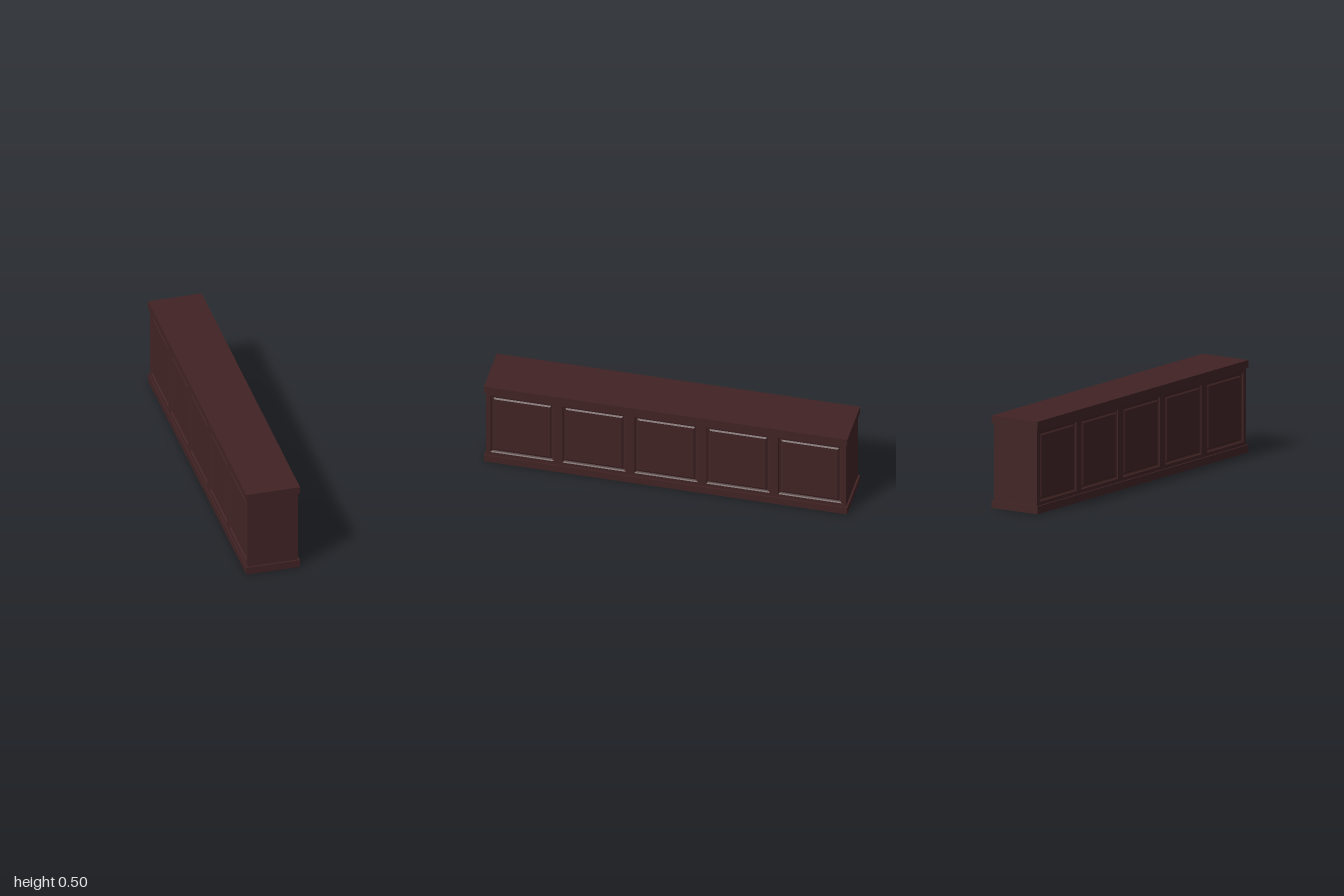
import * as THREE from 'three';

const WOOD = new THREE.MeshStandardMaterial({ color: 0x412324 });
WOOD.name = 'dark mahogany';

const HALF_X = 0.149, HALF_Z = 1;       // plinth and countertop
const BODY_X = 0.14, BODY_Z = 0.99;     // cabinet body
const LOW = 0.042, HIGH = 0.464, TOP = 0.505;
const DEPTH = 0.012;                    // thickness of the panelled facing
const PANEL = { w: 0.348, y0: 0.062, y1: 0.442, pitch: 0.396, count: 5 };

function add(parent, name, geometry) {
  const mesh = new THREE.Mesh(geometry, WOOD);
  mesh.name = name;
  parent.add(mesh);
  return mesh;
}

function box(parent, name, w, y0, y1, d) {
  const mesh = add(parent, name, new THREE.BoxGeometry(w, y1 - y0, d));
  mesh.position.y = (y0 + y1) / 2;
  return mesh;
}

function rectangle(x0, y0, x1, y1, Type = THREE.Shape) {
  return new Type([[x0, y0], [x1, y0], [x1, y1], [x0, y1]].map(p => new THREE.Vector2(...p)));
}

// Raised panel facing +z: nested rectangles [inset, depth] joined by sloping bands
function panelGeometry(w, h) {
  const steps = [[0, 0], [0.004, -0.006], [0.010, -0.009], [0.014, -0.009], [0.022, -0.003]];
  const pos = [];
  const ring = ([i, z]) => {
    const x = w / 2 - i, y = h / 2 - i;
    return [[-x, -y, z], [x, -y, z], [x, y, z], [-x, y, z]];
  };
  const quad = (a, b, c, d) => pos.push(...a, ...b, ...c, ...a, ...c, ...d);
  for (let s = 0; s < steps.length - 1; s++) {
    const o = ring(steps[s]), n = ring(steps[s + 1]);
    for (let k = 0; k < 4; k++) quad(o[k], o[(k + 1) % 4], n[(k + 1) % 4], n[k]);
  }
  quad(...ring(steps[steps.length - 1]));
  const g = new THREE.BufferGeometry();
  g.setAttribute('position', new THREE.Float32BufferAttribute(pos, 3));
  g.computeVertexNormals();
  return g;
}

// One long facing with five panels, built facing +z and then turned to a side
function panelledSide(name, sign) {
  const side = new THREE.Group();
  side.name = name;
  const centres = Array.from({ length: PANEL.count }, (_, i) => (i - (PANEL.count - 1) / 2) * PANEL.pitch);
  const frame = rectangle(-BODY_Z, LOW, BODY_Z, HIGH);
  for (const c of centres) {
    frame.holes.push(rectangle(c - PANEL.w / 2, PANEL.y0, c + PANEL.w / 2, PANEL.y1, THREE.Path));
  }
  add(side, 'panelFrame', new THREE.ExtrudeGeometry(frame, { depth: DEPTH, bevelEnabled: false }));
  const geometry = panelGeometry(PANEL.w, PANEL.y1 - PANEL.y0);
  for (const c of centres) {
    add(side, 'raisedPanel', geometry).position.set(c, (PANEL.y0 + PANEL.y1) / 2, DEPTH);
  }
  side.rotation.y = sign * Math.PI / 2;
  side.position.x = sign * (BODY_X - DEPTH);
  return side;
}

export function createModel() {
  const model = new THREE.Group();
  model.name = 'panelledCounter';

  // Countertop and body
  box(model, 'countertop', HALF_X * 2, HIGH, TOP, HALF_Z * 2);
  box(model, 'bodyCore', (BODY_X - DEPTH) * 2, LOW, HIGH, BODY_Z * 2);
  model.add(panelledSide('leftSide', 1), panelledSide('rightSide', -1));

  // Hollow plinth: a thin skirt under a ledge plate
  box(model, 'plinthLedge', HALF_X * 2, LOW - 0.002, LOW, HALF_Z * 2);
  const t = 0.002;
  const skirt = rectangle(-HALF_X, -HALF_Z, HALF_X, HALF_Z);
  skirt.holes.push(rectangle(-HALF_X + t, -HALF_Z + t, HALF_X - t, HALF_Z - t, THREE.Path));
  const skirtGeometry = new THREE.ExtrudeGeometry(skirt, { depth: LOW - 0.002, bevelEnabled: false });
  skirtGeometry.rotateX(-Math.PI / 2);
  add(model, 'plinthSkirt', skirtGeometry);

  return model;
}
